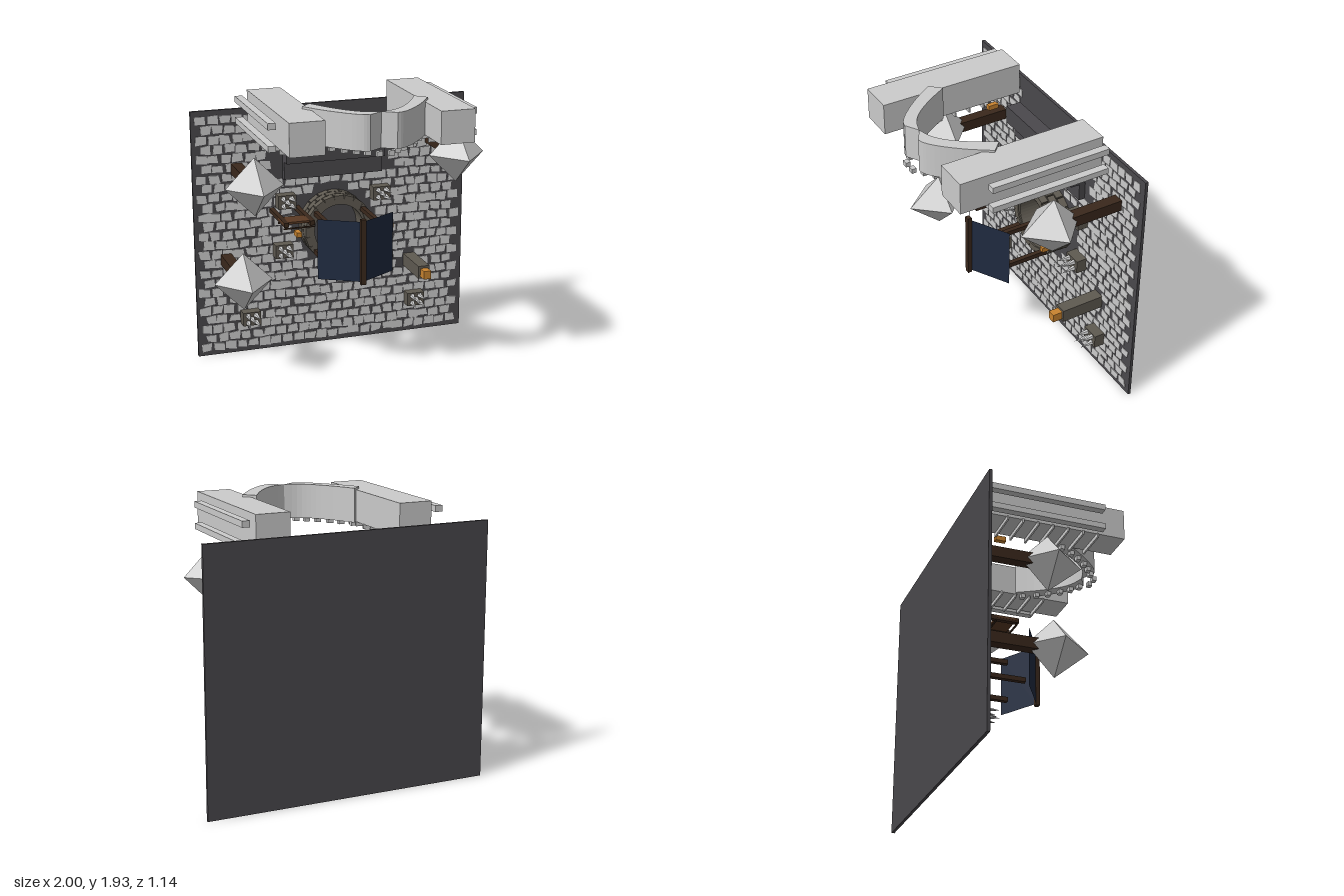
import * as THREE from 'three';
import { mergeGeometries } from 'three/addons/utils/BufferGeometryUtils.js';

const mat = (color) => new THREE.MeshStandardMaterial({ color, flatShading: true, side: THREE.DoubleSide });
const GREY = mat(0xcccccc), WALL = mat(0x4a484c), STONE = mat(0x5f5a51), BROWN = mat(0x3a281c),
  PLANK = mat(0x5a3a24), ORANGE = mat(0xc8832f), NAVY = mat(0x1f2a40);

// Box given by its limits on each axis
function boxGeo(x0, x1, y0, y1, z0, z1) {
  return new THREE.BoxGeometry(x1 - x0, y1 - y0, z1 - z0)
    .translate((x0 + x1) / 2, (y0 + y1) / 2, (z0 + z1) / 2);
}

export function createModel() {
  const root = new THREE.Group();
  const add = (name, geo, material) => {
    const m = new THREE.Mesh(geo, material);
    m.name = name;
    root.add(m);
    return m;
  };
  const box = (name, material, ...lim) => add(name, boxGeo(...lim), material);

  let seed = 7;
  const rnd = () => (seed = (seed * 16807) % 2147483647) / 2147483647 - 0.5;

  // Back wall
  const F = -0.551;
  box('wall', WALL, -1, 1, 0, 1.78, -0.572, F);

  // Irregular facing stones in staggered rows
  const stones = [];
  for (let r = 0; r < 25; r++) {
    const y = 0.06 + r * 0.0688;
    for (let c = 0; c < 23; c++) {
      const x = -0.935 + c * 0.0845 + (r % 2 ? 0.035 : 0) + rnd() * 0.012;
      if (x > 0.95) continue;
      if (Math.hypot(x, y - 0.9) < 0.3) continue;
      if (Math.abs(x) < 0.43 && y > 1.26) continue;
      if (Math.abs(x - 0.585) < 0.07 && Math.abs(y - 0.56) < 0.07) continue;
      const g = new THREE.BoxGeometry(0.072, 0.056, 0.006);
      const p = g.attributes.position;
      const j = Array.from({ length: 8 }, () => rnd() * 0.016);
      for (let i = 0; i < p.count; i++) {
        const k = (p.getX(i) > 0 ? 2 : 0) + (p.getY(i) > 0 ? 4 : 0);
        p.setXY(i, p.getX(i) + j[k], p.getY(i) + j[k + 1]);
      }
      stones.push(g.translate(x, y, F + 0.001));
    }
  }
  add('wallStones', mergeGeometries(stones), GREY);

  // Three overhanging steps above the window
  for (let i = 0; i < 3; i++) {
    const z = -0.505 + i * 0.065;
    box('overhangStep', WALL, -0.36, 0.36, 1.26 + i * 0.127, 1.387 + i * 0.127, Math.max(z - 0.105, F), z);
  }

  // Round window: staggered block rings, a sleeve and a front ring
  const blocks = [], N = 20;
  for (let k = 0; k < 3; k++) {
    for (let i = 0; i < N; i++) {
      blocks.push(new THREE.BoxGeometry(0.05, 0.069, 0.053)
        .translate(0.222, 0, 0)
        .rotateZ(((i + (k % 2) / 2) / N) * Math.PI * 2)
        .translate(0, 0.9, -0.403 - k * 0.059));
    }
  }
  add('windowBlocks', mergeGeometries(blocks), STONE);
  const sleeve = new THREE.Shape().absarc(0, 0, 0.235, 0, Math.PI * 2);
  sleeve.holes.push(new THREE.Path().absarc(0, 0, 0.18, 0, Math.PI * 2, true));
  add('windowSleeve', new THREE.ExtrudeGeometry(sleeve, { depth: 0.165, bevelEnabled: false, curveSegments: 24 })
    .translate(0, 0.9, F), STONE);
  add('windowOpening', new THREE.CircleGeometry(0.18, 32).translate(0, 0.9, F + 0.003), WALL);

  // Window shield: two angled leaves on a post, carried by four struts
  box('shieldPost', BROWN, -0.018, 0.018, 0.665, 1.125, 0.115, 0.145);
  for (const s of [-1, 1]) {
    const leaf = add('shieldLeaf', new THREE.PlaneGeometry(Math.hypot(0.27, 0.155), 0.425), NAVY);
    leaf.position.set(s * 0.135, 0.892, 0.0475);
    leaf.rotation.y = s * Math.atan2(0.155, 0.27);
    for (const y of [0.755, 1.035])
      box('shieldStrut', BROWN, s * 0.172 - 0.016, s * 0.172 + 0.016, y - 0.016, y + 0.016, F, -0.02);
  }

  // Small shelf beside the window
  for (const x of [-0.443, -0.26])
    box('shelfArm', BROWN, x - 0.016, x + 0.016, 1.02, 1.052, F, -0.17);
  box('shelfBoard', PLANK, -0.46, -0.24, 1.035, 1.05, -0.325, -0.19);
  for (const z of [-0.33, -0.185])
    box('shelfRail', BROWN, -0.46, -0.24, 1.003, 1.012, z - 0.005, z + 0.005);

  // Large diamond weights on beams
  for (const [x, y] of [[-0.69, 1.36], [-0.78, 0.71], [0.74, 1.47]]) {
    box('diamondBeam', BROWN, x - 0.038, x + 0.038, y - 0.038, y + 0.038, F, -0.12);
    const g = new THREE.OctahedronGeometry(0.2);
    const p = g.attributes.position;
    for (let i = 0; i < p.count; i++) p.setZ(i, p.getZ(i) * (p.getZ(i) > 0 ? 1.17 : 0.93));
    g.computeVertexNormals();
    add('diamond', g.translate(x, y, -0.06), GREY);
  }

  // Spike clusters on stone blocks
  for (const [x, y] of [[-0.35, 1.105], [0.35, 1.105], [-0.375, 0.745], [0.36, 0.745], [-0.622, 0.268], [0.62, 0.268]]) {
    box('spikeBlock', STONE, x - 0.065, x + 0.065, y - 0.049, y + 0.049, F, -0.472);
    const spikes = [];
    for (const [dx, dy] of [[0, 0], [-1, -1], [1, -1], [-1, 1], [1, 1]])
      spikes.push(new THREE.ConeGeometry(0.019, 0.1, 5).rotateX(Math.PI / 2)
        .rotateY(dx * 0.1).translate(x + dx * 0.033, y + dy * 0.026, -0.422));
    add('spikes', mergeGeometries(spikes), GREY);
  }

  // Lamps
  box('lampArm', STONE, 0.545, 0.63, 0.515, 0.607, F, -0.24);
  box('lamp', ORANGE, 0.56, 0.615, 0.53, 0.59, -0.24, -0.17);
  for (const s of [-1, 1])
    for (const [x, y] of [[0.335, 0.935], [0.377, 1.665]])
      box('smallLamp', ORANGE, s * x - 0.017, s * x + 0.017, y - 0.017, y + 0.017, -0.312, -0.238);

  // Upper gallery, mirrored left and right
  const inner = [[0.36, 0.11], [0.28, 0.245], [0.19, 0.365], [0.1, 0.44], [0, 0.475]];
  const outer = [[0.09, 0.53], [0.14, 0.515], [0.22, 0.45], [0.33, 0.325], [0.43, 0.18]];
  const curve = (pts, s) => new THREE.SplineCurve(pts.map(([x, z]) => new THREE.Vector2(s * x, -z))).getPoints(14);
  for (const s of [-1, 1]) {
    const sideBox = (name, x0, x1, ...rest) => box(name, GREY, Math.min(s * x0, s * x1), Math.max(s * x0, s * x1), ...rest);
    sideBox('galleryArm', 0.385, 0.618, 1.7, 1.92, -0.488, 0.53);
    sideBox('upperRail', 0.653, 0.705, 1.842, 1.884, -0.48, 0.355);
    sideBox('lowerRail', 0.653, 0.705, 1.698, 1.738, -0.48, 0.355);
    for (let i = 0; i < 7; i++) {
      const z = -0.31 + i * 0.107;
      sideBox('armTooth', 0.375, 0.628, 1.672, 1.703, z - 0.006, z + 0.006);
    }
    // Curved front wall with teeth below
    const shape = new THREE.Shape([...curve(inner, s), ...curve(outer, s)]);
    add('curvedWall', new THREE.ExtrudeGeometry(shape, { depth: 0.235, bevelEnabled: false })
      .rotateX(-Math.PI / 2).translate(0, 1.7, 0), GREY);
    for (const [x, z] of [[0.04, 0.55], [0.1, 0.5], [0.16, 0.455], [0.22, 0.4], [0.28, 0.33], [0.33, 0.26], [0.38, 0.17]])
      sideBox('curveTooth', x - 0.02, x + 0.02, 1.67, 1.702, z - 0.016, z + 0.016);
  }
  return root;
}
